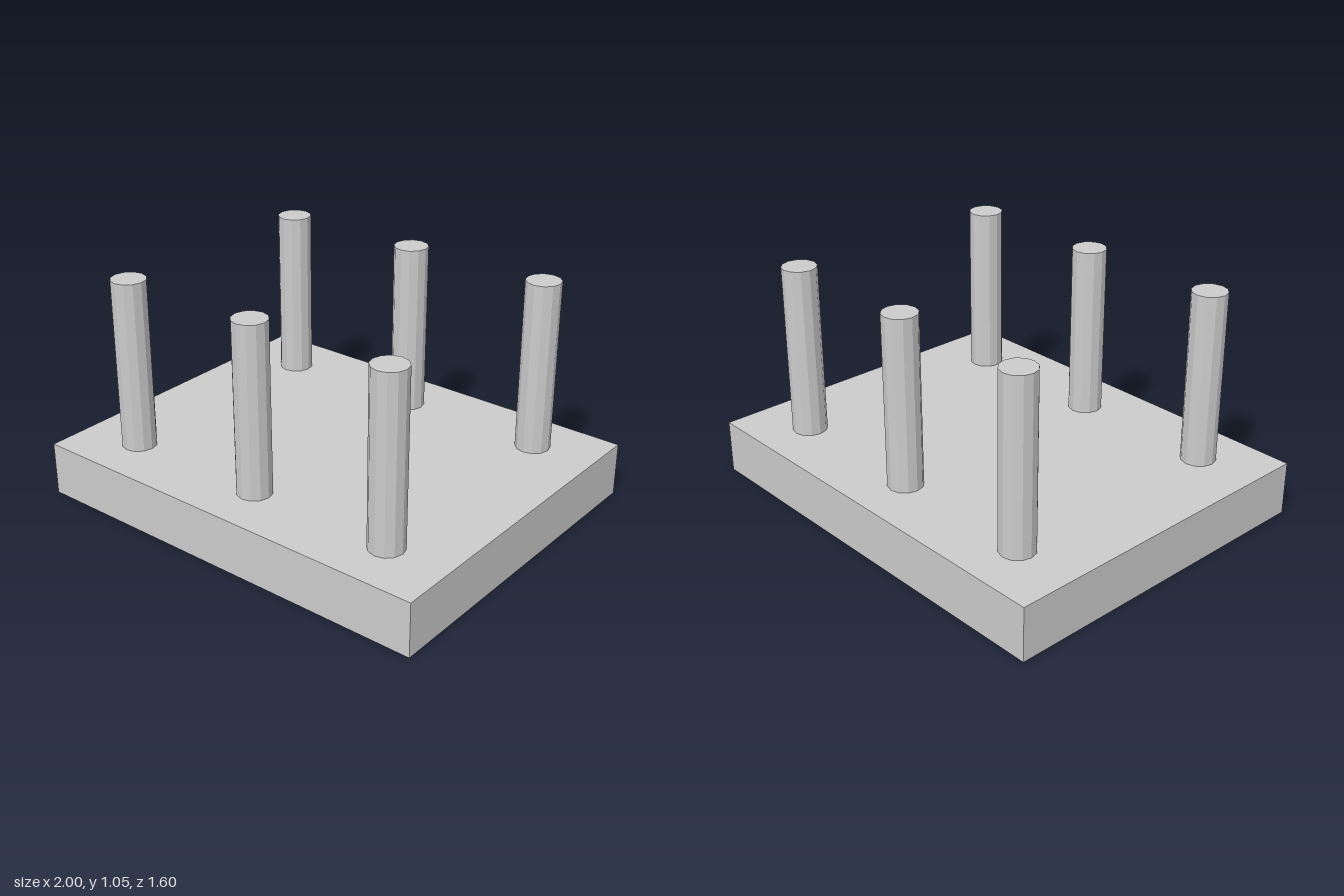
import * as THREE from 'three';

export function createModel() {
  const group = new THREE.Group();
  const material = new THREE.MeshStandardMaterial({ color: 0xcccccc, flatShading: true });
  const baseHeight = 0.25;
  const pegHeight = 0.8;

  // Slab
  const base = new THREE.Mesh(new THREE.BoxGeometry(2, baseHeight, 1.6), material);
  base.name = 'base';
  base.position.y = baseHeight / 2;
  group.add(base);

  // Two rows of three upright pegs
  const pegGeometry = new THREE.CylinderGeometry(0.08, 0.08, pegHeight, 12);
  for (const [row, z] of [['front', 0.55], ['back', -0.55]]) {
    for (const [side, x] of [['Right', -0.7], ['Middle', 0], ['Left', 0.7]]) {
      const peg = new THREE.Mesh(pegGeometry, material);
      peg.name = `${row}${side}Peg`;
      peg.position.set(x, baseHeight + pegHeight / 2, z);
      group.add(peg);
    }
  }

  return group;
}
